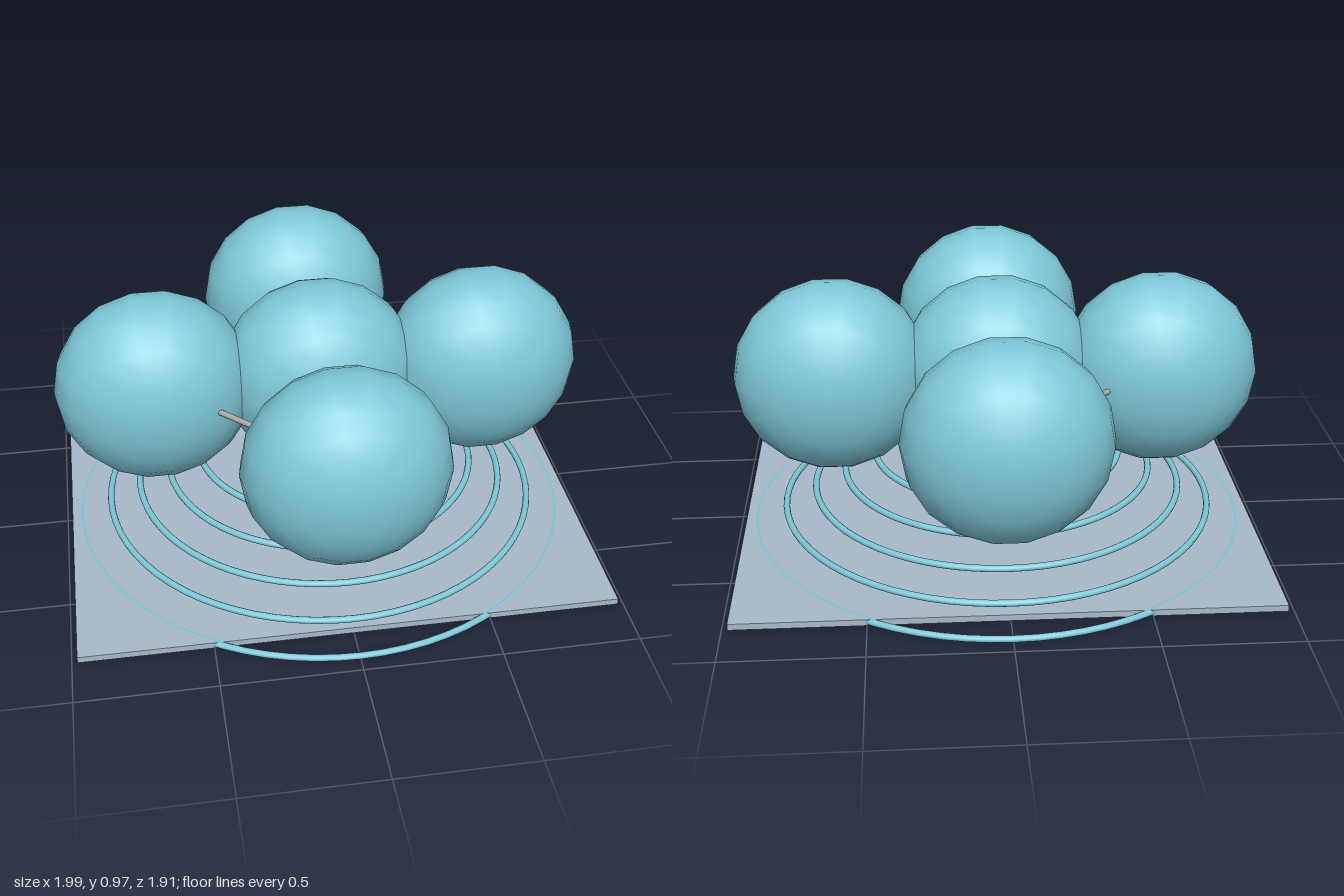
import * as THREE from 'three';

const material = (name, color) => {
  const m = new THREE.MeshStandardMaterial({ color });
  m.name = name;
  return m;
};

export function createModel() {
  const model = new THREE.Group();
  model.name = 'model';
  const aqua = material('aqua', 0x7ec8d8);
  const slate = material('paleSlate', 0xa9b9c8);
  const grey = material('warmGrey', 0xaaa8aa);

  const add = (name, geometry, mat, x = 0, y = 0, z = 0) => {
    const mesh = new THREE.Mesh(geometry, mat);
    mesh.name = name;
    mesh.position.set(x, y, z);
    model.add(mesh);
    return mesh;
  };

  // Thin rectangular base
  add('basePlate', new THREE.BoxGeometry(1.96, 0.024, 1.62), slate, 0, 0.012, 0);

  // Five floating rings, shrinking as they rise
  for (let i = 0; i < 5; i++) {
    const ring = new THREE.TorusGeometry(0.942 - 0.1175 * i, 0.0125, 10, 72);
    ring.rotateX(Math.PI / 2);
    add('ring' + (i + 1), ring, aqua, 0, 0.0125 + 0.0683 * i, 0);
  }

  // Flattened balls in a cross: one in the middle, four around it
  const ballY = 0.602, spread = 0.622;
  const ball = new THREE.SphereGeometry(1, 18, 12);
  ball.rotateX(Math.PI / 2);
  ball.scale(0.375, 0.374, 0.286);
  add('centreBall', ball, aqua, 0, ballY, 0);
  add('leftBall', ball, aqua, spread, ballY, 0);
  add('rightBall', ball, aqua, -spread, ballY, 0);
  add('frontBall', ball, aqua, 0, ballY, spread);
  add('backBall', ball, aqua, 0, ballY, -spread);

  // Two diagonal rods joining the right ball to the front and back balls
  const rod = new THREE.CylinderGeometry(0.011, 0.011, spread * Math.SQRT2, 10);
  rod.rotateX(Math.PI / 2);
  for (const side of [1, -1]) {
    const mesh = add(side > 0 ? 'frontRod' : 'backRod', rod, grey,
      -spread / 2, ballY, side * spread / 2);
    mesh.rotation.y = side * Math.PI / 4;
  }
  return model;
}
